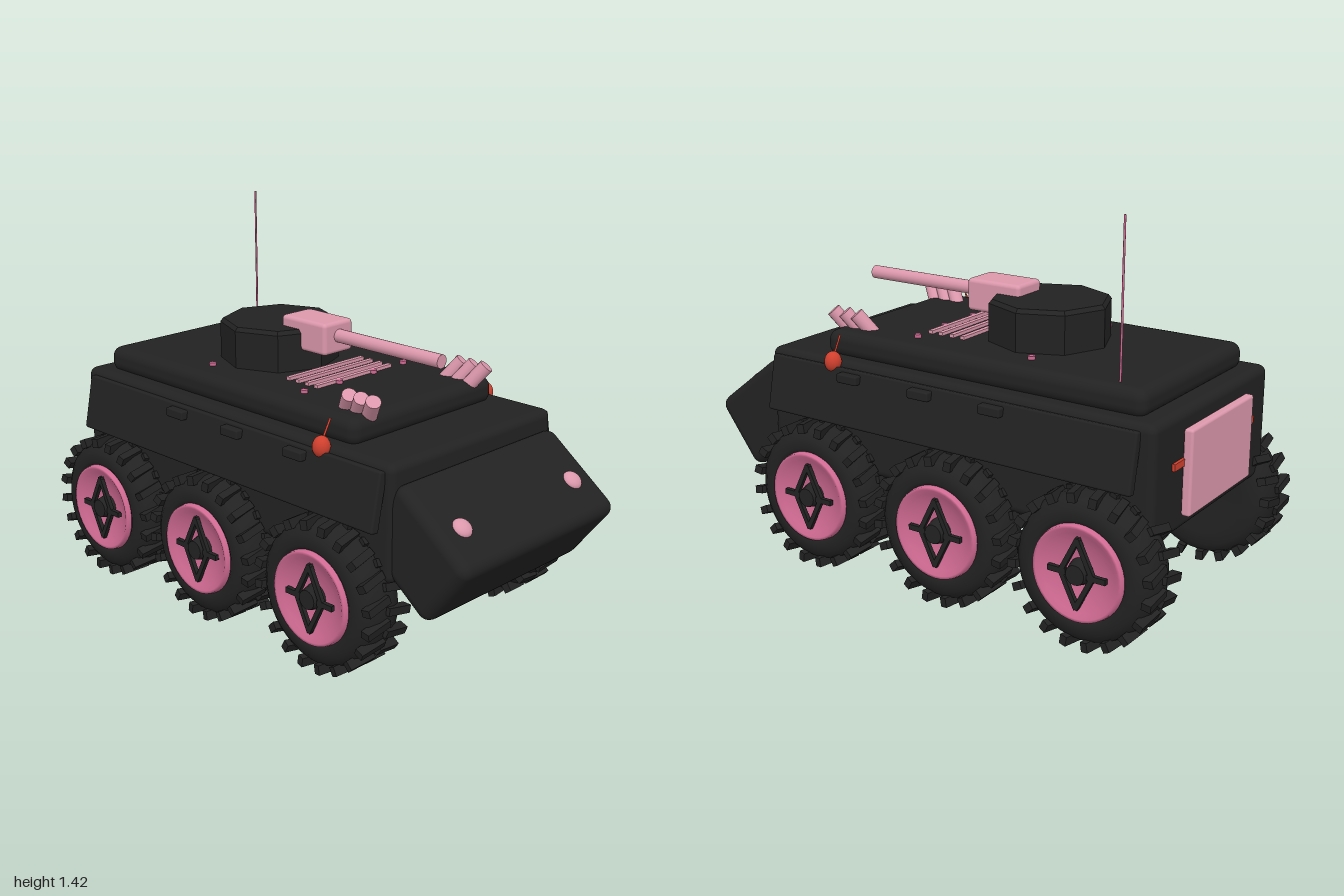
import * as THREE from 'three';
import { RoundedBoxGeometry } from 'three/addons/geometries/RoundedBoxGeometry.js';

const material = (name, color, extra = {}) => {
  const m = new THREE.MeshStandardMaterial({ color, ...extra });
  m.name = name;
  return m;
};

export function createModel() {
  const body = material('black body', 0x222222);
  const pink = material('light pink', 0xdc98ac);
  const rose = material('rose', 0xd06a92, { side: THREE.DoubleSide });
  const red = material('red', 0xd0402e);

  const model = new THREE.Group();
  model.name = 'armouredCar';

  const add = (parent, name, geometry, mat, x = 0, y = 0, z = 0) => {
    const mesh = new THREE.Mesh(geometry, mat);
    mesh.name = name;
    mesh.position.set(x, y, z);
    parent.add(mesh);
    return mesh;
  };
  const box = (w, h, d, r) => (r ? new RoundedBoxGeometry(w, h, d, 3, r) : new THREE.BoxGeometry(w, h, d));
  const rod = (r, h, n = 16) => new THREE.CylinderGeometry(r, r, h, n);
  const up = new THREE.Vector3(0, 1, 0);
  // Cylinder running between two points
  const link = (parent, name, a, b, r, mat, n) => {
    const from = new THREE.Vector3(...a), dir = new THREE.Vector3(...b).sub(from);
    const mesh = add(parent, name, rod(r, dir.length(), n), mat);
    mesh.position.copy(from).addScaledVector(dir, 0.5);
    mesh.quaternion.setFromUnitVectors(up, dir.normalize());
    return mesh;
  };

  // Hull and deck
  add(model, 'hull', box(0.855, 0.42, 1.63, 0.03), body, 0, 0.578, -0.115);
  add(model, 'deck', box(0.74, 0.1, 1.335, 0.04), body, 0, 0.825, -0.19);

  // Sloped nose with two headlights
  const nose = new THREE.Group();
  nose.name = 'nose';
  nose.position.set(0, 0.5, 0.772);
  nose.rotation.x = 0.655;
  model.add(nose);
  add(nose, 'nosePlate', box(0.83, 0.3, 0.38, 0.04), body);
  for (const s of [-1, 1]) {
    const lamp = add(nose, 'headlight', new THREE.SphereGeometry(0.037, 20, 8, 0, Math.PI * 2, 0, Math.PI / 2), pink, s * 0.3, 0.149, 0.034);
    lamp.scale.y = 0.6;
  }

  // Octagonal turret with a bevelled rim
  const drum = new THREE.CylinderGeometry(0.225, 0.225, 0.14, 8).toNonIndexed();
  drum.computeVertexNormals();
  add(model, 'turret', drum, body, 0, 0.945, -0.27);
  const rim = new THREE.CylinderGeometry(0.213, 0.225, 0.015, 8).toNonIndexed();
  rim.computeVertexNormals();
  add(model, 'turretRim', rim, body, 0, 1.0225, -0.27);

  // Gun
  add(model, 'gunMount', box(0.148, 0.12, 0.228, 0.015), pink, 0, 1.01, -0.068);
  link(model, 'gunBarrel', [0, 1.017, 0.03], [0, 1.017, 0.537], 0.025, pink, 20);

  // Deck grille and bolts
  for (const z of [-0.02, 0.028, 0.077, 0.122]) {
    add(model, 'grilleBar', box(0.39, 0.014, 0.018), pink, 0, 0.88, z);
  }
  for (const [x, z] of [[0.26, -0.36], [0.26, 0.13], [0.09, 0.137]]) {
    for (const s of [-1, 1]) add(model, 'deckBolt', rod(0.013, 0.014, 10), rose, s * x, 0.88, z);
  }

  // Aerial
  add(model, 'aerial', rod(0.004, 0.55, 8), rose, 0.312, 1.147, -0.738);

  // Rear hatch with its red hinge bars
  add(model, 'rearHatch', box(0.466, 0.305, 0.035, 0.01), pink, 0, 0.578, -0.95);
  add(model, 'rearBar', box(0.6, 0.025, 0.014), red, 0, 0.615, -0.934);

  for (const s of [-1, 1]) {
    // Slanted side panel, its hinges and lower trim
    const panel = add(model, 'sidePanel', box(0.036, 0.21, 1.55, 0.008), body, s * 0.451, 0.663, -0.105);
    panel.rotation.z = s * 0.2;
    for (const z of [0.29, -0.03, -0.33]) {
      add(model, 'panelHinge', box(0.035, 0.034, 0.09, 0.006), body, s * 0.463, 0.74, z);
    }
    add(model, 'sideTrim', box(0.012, 0.012, 1.3), rose, s * 0.428, 0.552, -0.1);

    // Marker ball and its stalk
    const ball = add(model, 'markerBall', new THREE.SphereGeometry(0.032, 20, 14), red, s * 0.433, 0.782, 0.388);
    ball.scale.y = 1.2;
    link(model, 'markerStalk', [s * 0.43, 0.8, 0.388], [s * 0.39, 0.872, 0.388], 0.004, red, 6);

    // Smoke launchers
    for (const z of [0.36, 0.415, 0.47]) {
      link(model, 'smokeLauncher', [s * 0.262, 0.855, z - 0.027], [s * 0.298, 0.932, z + 0.027], 0.027, pink);
    }
  }

  // Wheels, built around y with the outer face up
  const lathe = (pts) => new THREE.LatheGeometry(pts.map((p) => new THREE.Vector2(...p)), 40);
  const tireGeo = lathe([[0, -0.088], [0.17, -0.092], [0.215, -0.09], [0.245, -0.072], [0.262, -0.03],
    [0.262, 0.03], [0.248, 0.072], [0.22, 0.092], [0.185, 0.097], [0.165, 0.085], [0.155, 0.06]]);
  const bowlGeo = lathe([[0.172, 0.085], [0.168, 0.107], [0.158, 0.107], [0.14, 0.096], [0.1, 0.08], [0.05, 0.07], [0, 0.068]]);
  const lugGeo = box(0.035, 0.105, 0.028);
  const lugs = 20;

  const makeWheel = () => {
    const wheel = new THREE.Group();
    wheel.name = 'wheel';
    add(wheel, 'tire', tireGeo, body);
    add(wheel, 'wheelDish', bowlGeo, rose);
    add(wheel, 'innerBoss', rod(0.03, 0.02), body, 0, -0.095, 0);
    add(wheel, 'hubCap', new THREE.CylinderGeometry(0.035, 0.048, 0.05, 16), body, 0, 0.09, 0);
    // Two rows of slanted tread lugs, staggered
    for (let i = 0; i < lugs * 2; i++) {
      const side = i % 2 ? 1 : -1, a = (i * Math.PI) / lugs;
      const lug = add(wheel, 'treadLug', lugGeo, body, 0.259 * Math.cos(a), side * 0.047, -0.259 * Math.sin(a));
      lug.rotation.set(side * 0.2, a, 0, 'YXZ');
    }
    // Diamond spider with cross spokes
    const tips = [[0.12, 0], [0, 0.06], [-0.12, 0], [0, -0.06]];
    tips.forEach(([x, z], i) => {
      const [x2, z2] = tips[(i + 1) % 4];
      const bar = add(wheel, 'diamondBar', box(Math.hypot(x2 - x, z2 - z) + 0.01, 0.016, 0.018), body, (x + x2) / 2, 0.1, (z + z2) / 2);
      bar.rotation.y = -Math.atan2(z2 - z, x2 - x);
    });
    for (const s of [-1, 1]) add(wheel, 'spoke', box(0.02, 0.016, 0.07), body, 0, 0.1, s * 0.075);
    return wheel;
  };
  for (const z of [0.436, -0.149, -0.724]) {
    for (const s of [-1, 1]) {
      const wheel = makeWheel();
      wheel.position.set(s * 0.438, 0.277, z);
      wheel.rotation.z = (-s * Math.PI) / 2;
      model.add(wheel);
    }
  }
  return model;
}
